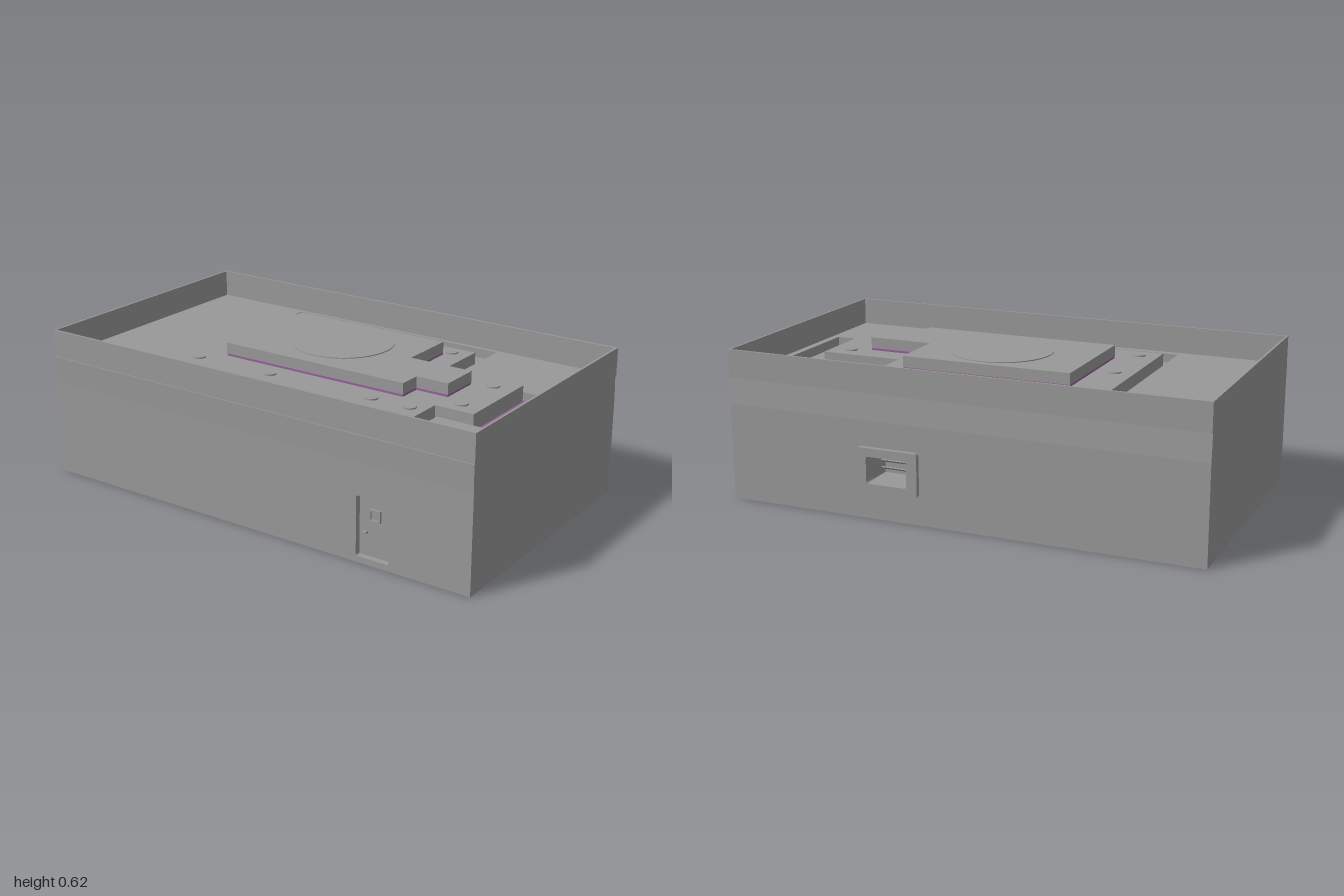
import * as THREE from 'three';

const W = 1, FRONT = 0.57, BACK = -0.555;
const BAND = 0.40, ROOF = 0.51, TOP = 0.625, PIT = 0.47, DECK = 0.545, SLAB = 0.60;

// Stepped outlines in plan, as [x, z]
const stepped = (x0, x1, x2, x3, z0, z1, z2, z3) => [
  [x0, z3], [x2, z3], [x2, z2], [x3, z2], [x3, z1], [x1, z1], [x1, z0], [x0, z0],
];
const pitOutline = stepped(-0.54, 0.47, 0.655, 0.96, -0.53, -0.165, 0.255, 0.53);
const trimOutline = stepped(-0.532, 0.462, 0.647, 0.812, -0.395, -0.157, 0.247, 0.395);
const deckOutline = stepped(-0.52, 0.45, 0.635, 0.80, -0.383, -0.145, 0.235, 0.383);
const slabOutline = stepped(-0.36, 0.355, 0.49, 0.63, -0.285, -0.04, 0.135, 0.23);

const toPoints = (pts) => pts.map(([x, z]) => new THREE.Vector2(x, -z));

// Plan outline extruded upwards from y0 to y1
function planGeometry(outline, y0, y1, hole) {
  const shape = new THREE.Shape(toPoints(outline));
  if (hole) shape.holes.push(new THREE.Path(toPoints(hole)));
  const g = new THREE.ExtrudeGeometry(shape, { depth: y1 - y0, bevelEnabled: false });
  return g.rotateX(-Math.PI / 2).translate(0, y0, 0);
}

// Rounded rectangle in the xy plane
function roundRect(path, x0, y0, x1, y1, r) {
  path.moveTo(x0 + r, y0);
  path.lineTo(x1 - r, y0).quadraticCurveTo(x1, y0, x1, y0 + r);
  path.lineTo(x1, y1 - r).quadraticCurveTo(x1, y1, x1 - r, y1);
  path.lineTo(x0 + r, y1).quadraticCurveTo(x0, y1, x0, y1 - r);
  path.lineTo(x0, y0 + r).quadraticCurveTo(x0, y0, x0 + r, y0);
  return path;
}

// Upright wall with a rounded opening, from z0 to z1
function wallWithOpening(outer, hole, z0, z1, outerRadius = 0) {
  const shape = outerRadius
    ? roundRect(new THREE.Shape(), ...outer, outerRadius)
    : new THREE.Shape([[0, 1], [2, 1], [2, 3], [0, 3]].map(([a, b]) => new THREE.Vector2(outer[a], outer[b])));
  shape.holes.push(roundRect(new THREE.Path(), ...hole));
  return new THREE.ExtrudeGeometry(shape, { depth: z1 - z0, bevelEnabled: false, curveSegments: 5 })
    .translate(0, 0, z0);
}

export function createModel() {
  const model = new THREE.Group();
  model.name = 'building';
  const concrete = new THREE.MeshStandardMaterial({ color: 0x999999 });
  concrete.name = 'concrete grey';
  const purple = new THREE.MeshStandardMaterial({ color: 0x985f9c });
  purple.name = 'trim purple';

  const add = (name, geometry, material = concrete) => {
    const mesh = new THREE.Mesh(geometry, material);
    mesh.name = name;
    model.add(mesh);
    return mesh;
  };
  // Box given by its opposite corners
  const box = (name, x0, y0, z0, x1, y1, z1, material) =>
    add(name, new THREE.BoxGeometry(x1 - x0, y1 - y0, z1 - z0)
      .translate((x0 + x1) / 2, (y0 + y1) / 2, (z0 + z1) / 2), material);

  // Lower walls and base
  add('frontWall', wallWithOpening([-W, 0, W, BAND], [0.51, 0.025, 0.655, 0.27, 0.01], FRONT - 0.04, FRONT));
  add('backWall', wallWithOpening([-W, 0, W, BAND], [0.20, 0.15, 0.375, 0.26, 0.012], BACK, BACK + 0.04));
  for (const s of [-1, 1]) {
    const a = s * W, b = s * (W - 0.04);
    box('sideWall', Math.min(a, b), 0, BACK + 0.04, Math.max(a, b), BAND, FRONT - 0.04);
  }
  box('base', -W + 0.04, 0, BACK + 0.04, W - 0.04, 0.02, FRONT - 0.04);

  // Roof layer, its top edge leaning slightly towards the front
  const roof = planGeometry([[-W, FRONT], [W, FRONT], [W, BACK], [-W, BACK]], BAND, ROOF, pitOutline);
  const p = roof.attributes.position;
  for (let i = 0; i < p.count; i++) {
    if (p.getY(i) < ROOF - 0.01) continue;
    if (p.getZ(i) > FRONT - 0.01) p.setZ(i, FRONT + 0.004);
    if (p.getZ(i) < BACK + 0.01) p.setZ(i, BACK + 0.008);
  }
  roof.computeVertexNormals();
  add('roof', roof);
  add('pitFloor', planGeometry(pitOutline, BAND, PIT));

  // Thin parapet
  const t = 0.009;
  box('frontParapet', -W, ROOF, FRONT - t, W, TOP, FRONT);
  box('backParapet', -W, ROOF, BACK, W, TOP, BACK + t);
  box('rightParapet', -W, ROOF, BACK + t, -W + t, TOP, FRONT - t);
  box('leftParapet', W - t, ROOF, BACK + t, W, TOP, FRONT - t);

  // Raised deck with purple trim at its foot, and the upper slab
  add('deckTrim', planGeometry(trimOutline, PIT, PIT + 0.008, deckOutline), purple);
  add('deck', planGeometry(deckOutline, PIT, DECK));
  const slabFoot = slabOutline.map(([x, z]) => [x * 0.998, z * 0.998]);
  add('slabTrim', planGeometry(slabFoot, DECK, DECK + 0.009), purple);
  add('upperSlab', planGeometry(slabOutline, DECK + 0.009, SLAB));
  add('roundPad', new THREE.CylinderGeometry(0.21, 0.21, 0.004, 48).translate(0.025, SLAB + 0.002, -0.047));

  // Low round caps along the deck
  const caps = [
    [-0.44, 0.31], [-0.08, 0.31], [0.4, 0.31], [0.57, 0.31], [0.71, 0.17], [0.71, -0.07],
    [0.37, -0.33], [-0.08, -0.33], [-0.44, -0.33], [-0.44, 0],
  ];
  for (const [x, z] of caps) {
    add('deckCap', new THREE.CylinderGeometry(0.027, 0.027, 0.006, 20).translate(x, DECK + 0.003, z));
  }

  // Recessed door with small window, handle and hinges
  box('door', 0.50, 0.02, FRONT - 0.05, 0.665, 0.28, FRONT - 0.025);
  add('doorWindowFrame', wallWithOpening([0.555, 0.17, 0.605, 0.22], [0.562, 0.177, 0.598, 0.213, 0.003],
    FRONT - 0.025, FRONT - 0.017, 0.004));
  box('doorHandle', 0.53, 0.118, FRONT - 0.025, 0.547, 0.125, FRONT - 0.01);
  for (const y of [0.08, 0.155, 0.225]) {
    box('doorHinge', 0.639, y - 0.01, FRONT - 0.025, 0.645, y + 0.01, FRONT - 0.015);
  }

  // Rear vent: projecting rounded frame around a deep recess
  add('ventFrame', wallWithOpening([0.155, 0.115, 0.42, 0.295], [0.20, 0.15, 0.375, 0.26, 0.012],
    BACK - 0.02, BACK, 0.018));
  const zi = BACK + 0.04, zo = BACK + 0.14;
  box('ventBack', 0.18, 0.13, zo, 0.395, 0.28, zo + 0.01);
  box('ventFloor', 0.18, 0.13, zi, 0.395, 0.15, zo);
  box('ventCeiling', 0.18, 0.26, zi, 0.395, 0.28, zo);
  box('ventSide', 0.18, 0.15, zi, 0.20, 0.26, zo);
  box('ventSide', 0.375, 0.15, zi, 0.395, 0.26, zo);
  for (let i = 0; i < 3; i++) {
    const slat = add('ventSlat', new THREE.BoxGeometry(0.175, 0.005, 0.03));
    slat.position.set(0.2875, 0.175 + i * 0.03, BACK + 0.12);
    slat.rotation.x = 0.5;
  }
  return model;
}
